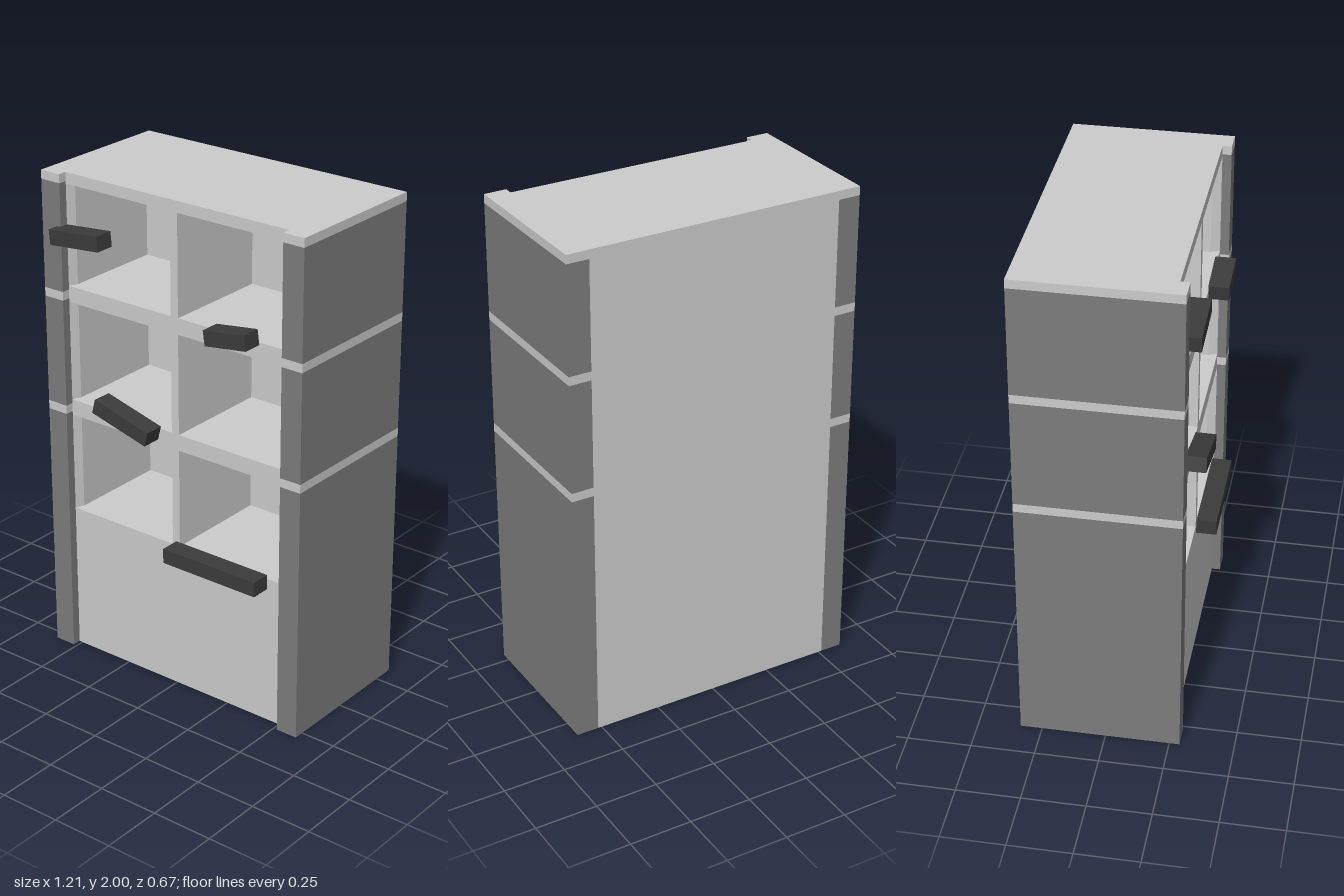
import * as THREE from 'three';

const BACK = -0.335, FRONT = 0.255, POST_FRONT = 0.29;
const INNER = 0.515, OUTER = 0.605, CELL_BACK = -0.19;

const light = new THREE.MeshStandardMaterial({ color: 0xcccccc });
const dark = new THREE.MeshStandardMaterial({ color: 0x7c7c7c });
const black = new THREE.MeshStandardMaterial({ color: 0x3b3b3b });

// Box given by its limits on each axis
function box(name, mat, x0, x1, y0, y1, z0, z1) {
  const mesh = new THREE.Mesh(new THREE.BoxGeometry(x1 - x0, y1 - y0, z1 - z0), mat);
  mesh.position.set((x0 + x1) / 2, (y0 + y1) / 2, (z0 + z1) / 2);
  mesh.name = name;
  return mesh;
}

// Vertical prism from a plan outline of [x, z] points
function prism(name, mat, plan, y0, y1) {
  const shape = new THREE.Shape(plan.map(([x, z]) => new THREE.Vector2(x, -z)));
  const geo = new THREE.ExtrudeGeometry(shape, { depth: y1 - y0, bevelEnabled: false });
  geo.rotateX(-Math.PI / 2);
  const mesh = new THREE.Mesh(geo, mat);
  mesh.position.y = y0;
  mesh.name = name;
  return mesh;
}

// One row of two open cells between y0 and y1, with the openings from c0 to c1
function cellRow(y0, y1, c0, c1) {
  const row = new THREE.Group();
  row.name = 'cellRow';
  row.add(box('backPanel', light, -INNER, INNER, y0, y1, BACK, CELL_BACK));
  if (c0 > y0) row.add(box('floorRail', light, -INNER, INNER, y0, c0, CELL_BACK, FRONT));
  row.add(box('ceilingRail', light, -INNER, INNER, c1, y1, CELL_BACK, FRONT));
  row.add(box('divider', light, -0.017, 0.017, c0, c1, CELL_BACK, FRONT));
  for (const s of [-1, 1]) {
    // side lining with a slanted front edge
    row.add(prism('sideLining', light, [
      [s * INNER, FRONT], [s * 0.5, FRONT - 0.035], [s * 0.5, CELL_BACK], [s * INNER, CELL_BACK],
    ], c0, c1));
  }
  return row;
}

export function createModel() {
  const model = new THREE.Group();
  model.name = 'shelfCabinet';

  // Solid base and three rows of cells
  model.add(box('basePanel', light, -INNER, INNER, 0, 0.61, BACK, FRONT));
  model.add(cellRow(0.61, 1.03, 0.61, 1.015));
  model.add(cellRow(1.065, 1.5, 1.08, 1.485));
  model.add(cellRow(1.535, 1.965, 1.55, 1.955));

  // Shelves and top, running through the side walls
  const plan = [
    [-OUTER, BACK], [OUTER, BACK], [OUTER, POST_FRONT], [INNER, POST_FRONT],
    [INNER, FRONT], [-INNER, FRONT], [-INNER, POST_FRONT], [-OUTER, POST_FRONT],
  ];
  model.add(prism('lowerShelf', light, plan, 1.03, 1.065));
  model.add(prism('upperShelf', light, plan, 1.5, 1.535));
  model.add(prism('top', light, plan, 1.965, 2));

  // Side walls between the shelves
  for (const [name, s] of [['leftWall', 1], ['rightWall', -1]]) {
    for (const [y0, y1] of [[0, 1.03], [1.065, 1.5], [1.535, 1.965]]) {
      const xs = [s * INNER, s * OUTER].sort((a, b) => a - b);
      model.add(box(name, dark, xs[0], xs[1], y0, y1, BACK, POST_FRONT));
    }
  }

  // Loose planks nailed across the front: x, y, length, tilt in degrees
  const planks = [
    [-0.415, 1.775, 0.235, 5.5],
    [0.293, 1.557, 0.187, 8],
    [-0.206, 1.095, 0.266, -14.5],
    [0.218, 0.597, 0.435, 0],
  ];
  for (const [x, y, len, tilt] of planks) {
    const plank = box('plank', black, -len / 2, len / 2, -0.03, 0.03, FRONT, 0.335);
    plank.position.x = x;
    plank.position.y = y;
    plank.rotation.z = THREE.MathUtils.degToRad(tilt);
    model.add(plank);
  }
  return model;
}
